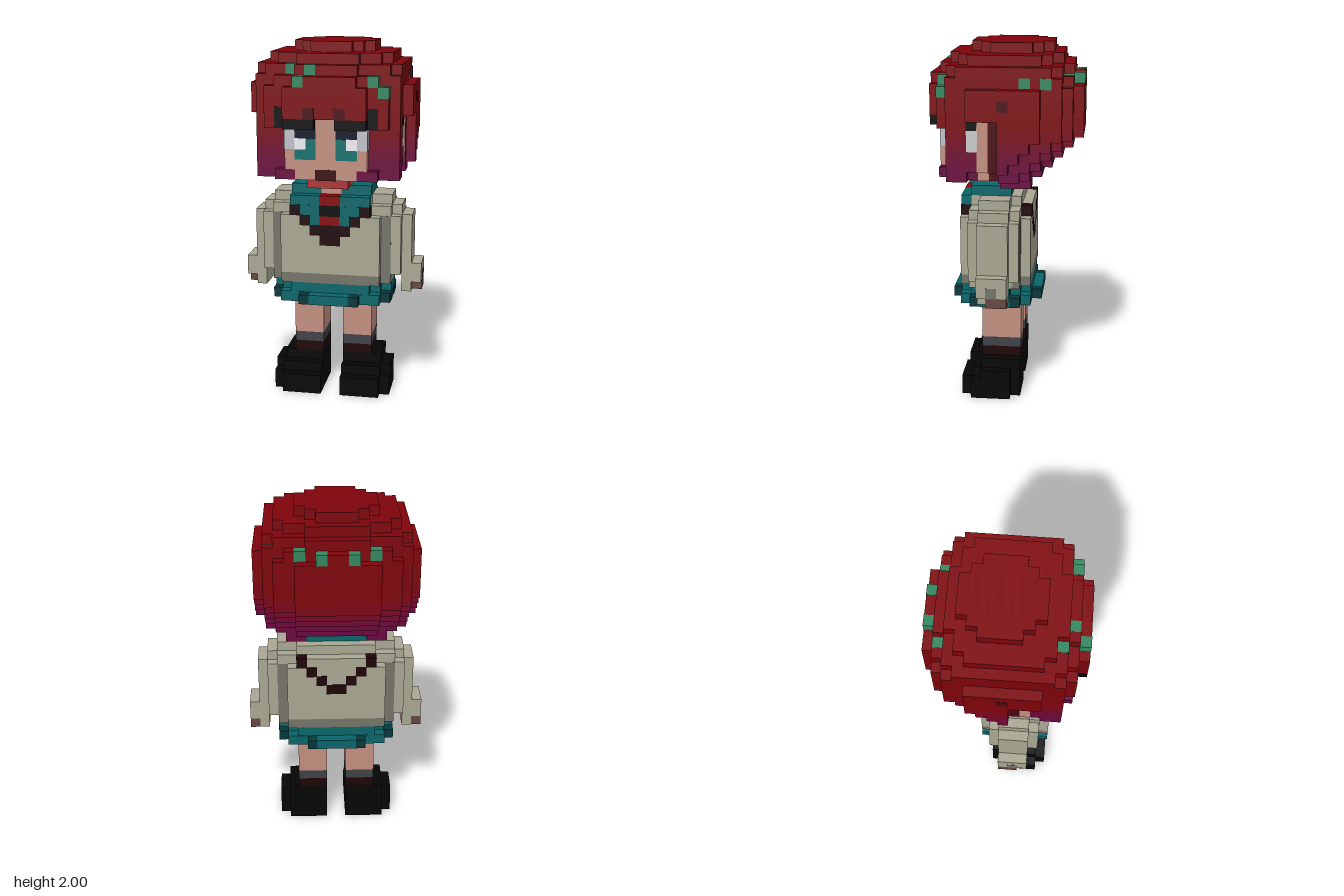
import * as THREE from 'three';
import { mergeGeometries } from 'three/addons/utils/BufferGeometryUtils.js';

const RED = 0x7e040a, SKIN = 0xc29080, BLACK = 0x060606, WOOL = 0xa9a792, WOOL_DARK = 0x74746a;
const TEAL = 0x08666a, TEAL_DARK = 0x06383c, GREEN = 0x33875f, TRIM = 0x1e0408, WHITE = 0xf0f0f4;
const EAR_SHADE = 0x4c0410, PURPLE = 0x6a0640;
const materials = {};
const mat = (color) => materials[color] ??= new THREE.MeshStandardMaterial({ color, flatShading: true });

// A box from its limits [x0, x1, y0, y1, z0, z1], counted in cubes
function boxGeo([x0, x1, y0, y1, z0, z1], grow) {
  const g = new THREE.BoxGeometry(x1 - x0 + 2 * grow, y1 - y0 + 2 * grow, z1 - z0 + 2 * grow);
  return g.translate((x0 + x1) / 2, (y0 + y1) / 2, (z0 + z1) / 2);
}
const flip = ([x0, x1, ...rest]) => [-x1, -x0, ...rest];
const cube = (x, y, z) => [x, x + 1, y, y + 1, z, z + 1];

export function createModel() {
  const model = new THREE.Group();
  model.name = 'figure';
  model.scale.setScalar(1 / 18);

  const add = (name, color, boxes, grow = 0) => {
    const mesh = new THREE.Mesh(mergeGeometries(boxes.map((b) => boxGeo(b, grow))), mat(color));
    mesh.name = name;
    model.add(mesh);
  };
  const pair = (name, color, boxes, grow = 0) => {
    add(name + 'Left', color, boxes, grow);
    add(name + 'Right', color, boxes.map(flip), grow);
  };

  // Hair: one layer per height, each made of rows along z with a half width
  const full = [8, 8, 8, 8, 7, 7, 6, 4];
  const brim = [7, 7, 7, 7, 7, 7, 5, 3];
  const mid = [7, 7, 7, 7, 7, 6, 3];
  const high = [6, 6, 6, 6, 5, 3];
  const crown = { '-4': 2, '-3': 3, '-2': 4, '-1': 4, 0: 4, 1: 4, 2: 3, 3: 2 };
  const half = (y, z) => {
    const a = Math.abs(z);
    if (y === 35) return crown[z] ?? 0;
    if (y === 34) return high[a] ?? 0;
    if (y === 33) return mid[a] ?? 0;
    if (y === 32) return z === -7 ? 2 : brim[a];
    if (y >= 29) return full[a];
    if (z > (y === 28 ? 6 : 5)) return 0;
    const shrink = z < 0 ? Math.max(0, 27 - y) : 0;
    let w = full[a + shrink] ?? 0;
    if (y === 23) w = Math.min(7, w);
    if (z >= 1 && z <= 3) w -= 1; // notch over the ear
    return w;
  };
  const tint = (y) => y >= 28 ? RED : [PURPLE, 0x6c063c, 0x700632, 0x760526, 0x7a0418][y - 23];
  for (let y = 23; y < 36; y++) {
    const rows = [];
    for (let z = -7; z <= 7; z++) {
      const w = half(y, z);
      if (w <= 0) continue;
      const span = [y, y + 1, z - 0.5, z + 0.5];
      // the underside is hollow around the neck
      if (y < 26 && z >= -1 && z <= 2) rows.push([3, w, ...span], [-w, -3, ...span]);
      else rows.push([-w, w, ...span]);
    }
    add('hairLayer' + (y - 22), tint(y), rows);
  }
  pair('hairTip', PURPLE, [[3, 5, 22, 23, -2.5, 0.5]]);
  pair('hairFrontLock', PURPLE, [[3, 5, 23, 24, 5.5, 6.5]]);
  add('hairLining', BLACK, [[-3, 3, 25.9, 26, -1.5, 2.5], [-3, 3, 23, 26, -1.5, -1.4],
    [-3, -2.9, 23, 26, -1.5, 2.5], [2.9, 3, 23, 26, -1.5, 2.5]]);

  // Green flecks and dark spots in the hair
  add('flecksFront', GREEN, [cube(-4, 33, 4.5), cube(-2, 33, 5.5), cube(-3, 32, 6.5),
    cube(4, 32, 5.5), cube(5, 31, 5.5)], 0.03);
  add('flecksSide', GREEN, [cube(6, 32, -2.5), cube(6, 32, -4.5)], 0.03);
  pair('flecksBack', GREEN, [cube(1, 32, -7.5), cube(3, 32, -6.5)], 0.03);
  pair('hairDarkSpot', EAR_SHADE, [cube(7, 30, -0.5)], 0.03);

  // Ear notch, seen between the locks
  pair('earSkin', SKIN, [[6, 7, 24, 29, 1.5, 2.5], [5, 6, 23, 24, 1.5, 2.5]], 0.03);
  pair('earShade', EAR_SHADE, [[6, 7, 24, 29, 0.5, 1.5], [5, 6, 23, 24, 0.5, 1.5]], 0.03);
  pair('earPale', 0xcacaca, [[6, 7, 26, 28, 2.5, 3.5]], 0.03);
  pair('earDark', BLACK, [[6, 7, 28, 29, 2.5, 3.5]], 0.03);

  // Face
  add('face', SKIN, [[-4, 4, 24, 28, 2.5, 6.5], [-3, 3, 23, 24, 2.5, 6.5], [-1, 1, 28, 29, 5, 6.55]]);
  pair('brow', BLACK, [[1, 4, 28, 29, 6.4, 7.5], [4, 5, 28, 30, 5.5, 6.53]]);
  pair('browShade', EAR_SHADE, [[1, 2, 29, 30, 6.5, 7.5]], 0.03);
  pair('eyeLash', 0x081428, [[1, 3, 27, 28, 5.5, 6.5]], 0.03);
  pair('eyeCorner', 0xc0c2ca, [[3, 4, 26, 28, 5.5, 6.5]], 0.03);
  pair('eyeHighlight', WHITE, [[2, 3, 26, 27, 5.5, 6.5]], 0.04);
  pair('iris', 0x10706f, [[1, 2, 26, 27, 5.5, 6.5], [1, 3, 25, 26, 5.5, 6.5]], 0.03);
  add('mouth', 0x3a0608, [[-1, 1, 23, 24, 5.5, 6.5]], 0.03);
  add('chinShade', 0xae3434, [[-2, 2, 22, 23, 3.5, 5.5]]);
  add('neck', SKIN, [[-2, 2, 22, 23, 0.5, 3.5], [-1, 1, 20, 22, 0.5, 3.4], [-1, 1, 23, 26, 0.5, 2.5]]);

  // Torso: core with a narrower front and back panel
  add('sweaterCore', WOOL, [[-6, 6, 12, 20, -1.5, 3.5], [-6, 6, 20, 21, -0.5, 2.5], [-4, 4, 20, 21, -1.5, 3.5]]);
  add('sweaterPanels', WOOL, [3.5, -2.5].flatMap((z) => [[-5, 5, 13, 19, z, z + 1], [-4, 4, 19, 20, z, z + 1]]));
  add('sweaterHemShade', WOOL_DARK, [3.5, -2.5].map((z) => [-5, 5, 12, 13, z, z + 1]));
  pair('sweaterSideShade', WOOL_DARK, [[5, 6, 12, 19, 2.5, 3.53], [5, 6, 12, 19, -1.53, -0.5]]);

  // Collar, tie and V-shaped trim
  pair('collar', TEAL, [[1, 4, 21, 22, -0.5, 3.5], [1, 4, 20, 21, 3.5, 4.5]]);
  pair('collarPoint', TEAL, [[1, 3, 19, 20, 3.5, 4.5], [1, 2, 18, 19, 3.5, 4.5]], 0.03);
  add('collarBack', TEAL, [[-1, 1, 21, 22, -0.5, 0.5]]);
  add('tie', 0x860408, [[-1, 1, 18, 21, 3.5, 4.5]], 0.03);
  add('tieKnot', BLACK, [[-1, 1, 19, 20, 3.5, 4.5]], 0.05);
  for (const [name, z] of [['Front', 3.5], ['Back', -2.5]]) {
    pair('neckTrim' + name, TRIM, [0, 1, 2, 3].map((i) => cube(i, 16 + i, z)), 0.04);
  }
  add('trimPoint', TRIM, [[-1, 1, 17, 18, 3.5, 4.5]], 0.04);

  // Arms
  pair('sleeve', WOOL, [[6, 7, 13, 19, -1.5, 3.5], [6, 7, 19, 20, -0.5, 2.5],
    [7, 8, 11, 19, -0.5, 2.5], [8, 9, 12, 14, -0.5, 2.5]]);
  pair('sleeveShade', WOOL_DARK, [[8, 9, 12, 13, 0.5, 1.5]], 0.03);
  pair('hand', 0x684640, [[8, 9, 11, 12, -0.5, 1.5]]);

  // Skirt with cut corners and pleats standing out from the hem
  add('skirtTop', TEAL, [[-6, 6, 11, 12, -0.5, 2.5], [-5, 5, 11, 12, -1.5, 3.5], [-4, 4, 11, 12, -2.5, 4.5]]);
  add('skirtHem', TEAL_DARK, [[-6, 6, 10, 11, -1.5, 3.5], [-5, 5, 10, 11, -2.5, 4.5]]);
  for (const [name, z] of [['Front', 4.5], ['Back', -3.5]]) {
    add('pleat' + name, TEAL, [[-2, 2, 10, 11, z, z + 1]]);
    pair('pleatFold' + name, TEAL_DARK, [[2, 3, 10, 11, z, z + 1]]);
  }
  pair('pleatCorner', TEAL, [[3, 5, 10, 11, 3.5, 4.5], [3, 5, 10, 11, -2.5, -1.5]], 0.03);
  pair('pleatSide', TEAL, [cube(5, 10, -0.5), cube(5, 10, 1.5)], 0.03);

  // Legs, socks and boots
  pair('leg', SKIN, [[1, 4, 6, 10, -1.5, 2.5]]);
  pair('sockTop', 0x404048, [[1, 4, 5, 6, -1.5, 2.5]]);
  pair('sock', 0x1e0406, [[1, 4, 4, 5, -1.5, 2.5]]);
  pair('boot', BLACK, [[1, 6, 0, 3, -0.5, 2.5], [1, 5, 0, 4, -1.5, 2.5],
    [1, 6, 0, 2, 2.5, 3.5], [1, 5, 2, 3, 2.5, 3.5], [1, 5, 0, 2, 3.5, 4.5]]);

  return model;
}
